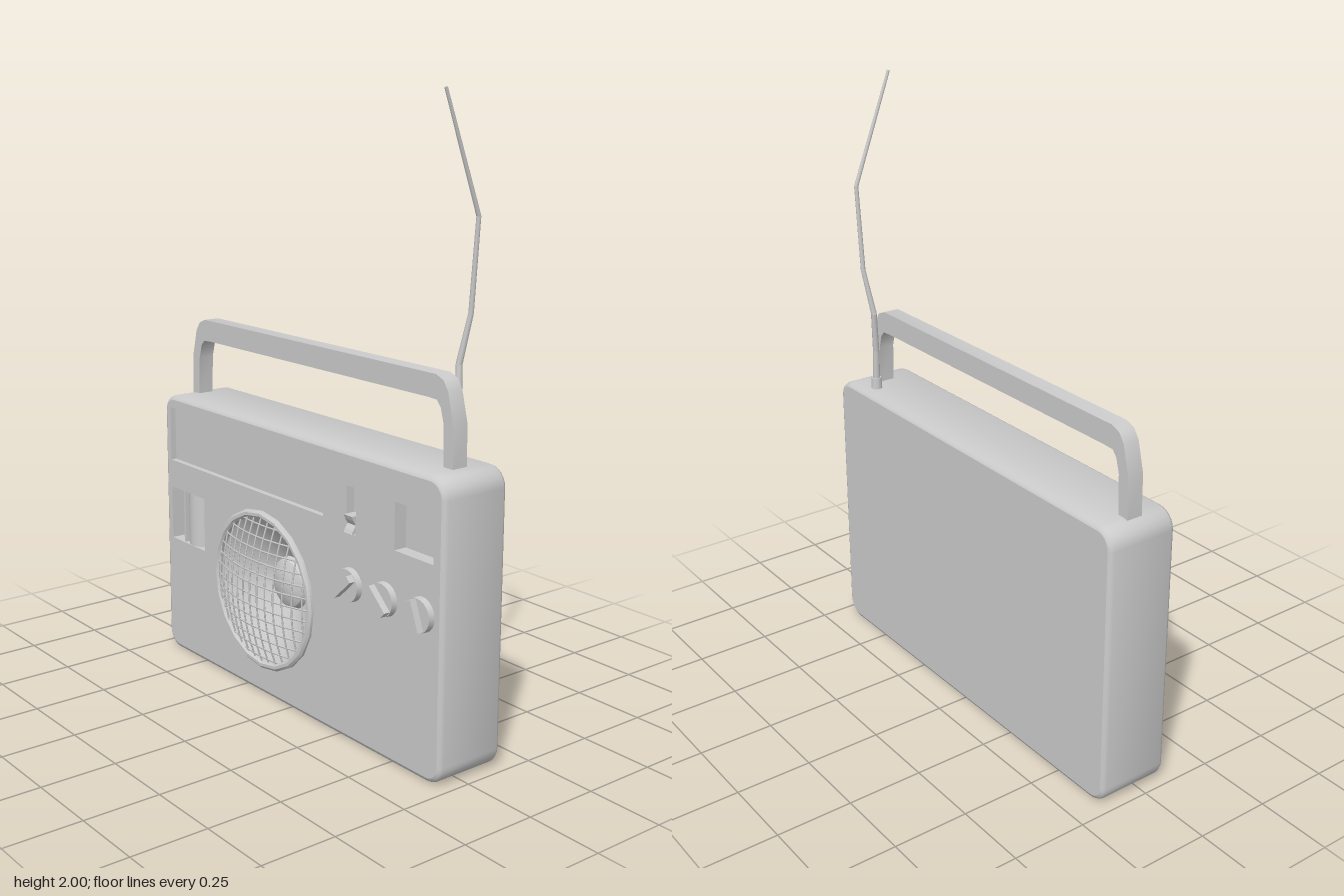
import * as THREE from 'three';
import { toCreasedNormals } from 'three/addons/utils/BufferGeometryUtils.js';

const FRONT = 0.092, BACK = -0.151;
const mat = new THREE.MeshStandardMaterial({ color: 0xcccccc, roughness: 0.7 });
const thin = new THREE.MeshStandardMaterial({ color: 0xcccccc, roughness: 0.7, side: THREE.DoubleSide });
const SPEAKER = { x: -0.142, y: 0.368, r: 0.252 };

function add(parent, name, geometry, x = 0, y = 0, z = 0, material = mat) {
  const mesh = new THREE.Mesh(geometry, material);
  mesh.name = name;
  mesh.position.set(x, y, z);
  parent.add(mesh);
  return mesh;
}

// Counter-clockwise rounded rectangle outline
function roundedRect(x0, y0, x1, y1, r, steps = 6) {
  const pts = [];
  const corners = [[x1 - r, y0 + r], [x1 - r, y1 - r], [x0 + r, y1 - r], [x0 + r, y0 + r]];
  corners.forEach(([cx, cy], c) => {
    for (let i = 0; i <= steps; i++) {
      const a = (c - 1 + i / steps) * Math.PI / 2;
      pts.push(new THREE.Vector2(cx + r * Math.cos(a), cy + r * Math.sin(a)));
    }
  });
  return pts;
}

const rect = (x0, y0, x1, y1) => [[x0, y0], [x1, y0], [x1, y1], [x0, y1]].map(p => new THREE.Vector2(...p));

// Skin between outlines at different depths; rising z faces outward, falling z inward
function loft(rings) {
  const pos = [], idx = [], n = rings[0].pts.length;
  rings.forEach(({ pts, z }) => pts.forEach(p => pos.push(p.x, p.y, z)));
  for (let k = 0; k < rings.length - 1; k++) {
    for (let i = 0; i < n; i++) {
      const a = k * n + i, b = k * n + (i + 1) % n;
      idx.push(a, b, a + n, b, b + n, a + n);
    }
  }
  const g = new THREE.BufferGeometry();
  g.setAttribute('position', new THREE.Float32BufferAttribute(pos, 3));
  g.setIndex(idx);
  return toCreasedNormals(g, 0.7);
}

function buildCase(group) {
  const outline = inset => roundedRect(-0.725 + inset, inset, 0.725 - inset, 0.932 - inset, 0.062 - inset);
  const profile = [[BACK, 0.015], [BACK + 0.005, 0.005], [BACK + 0.015, 0],
    [FRONT - 0.015, 0], [FRONT - 0.005, 0.005], [FRONT, 0.015]];
  add(group, 'caseSides', loft(profile.map(([z, inset]) => ({ pts: outline(inset), z }))));

  const back = new THREE.ShapeGeometry(new THREE.Shape(outline(0.015)));
  back.rotateY(Math.PI);
  add(group, 'caseBack', back, 0, 0, BACK);

  // Front panel with sunken windows
  const recesses = [
    ['dialWindow', rect(-0.688, 0.698, 0.175, 0.888), 0.02],
    ['tuningSlot', rect(-0.687, 0.412, -0.484, 0.6), 0.055],
    ['switchSlot', rect(0.29, 0.675, 0.335, 0.823), 0.03],
    ['meterWindow', rect(0.512, 0.675, 0.682, 0.823), 0.045],
  ];
  const panel = new THREE.Shape(outline(0.015));
  for (const [name, pts, depth] of recesses) {
    panel.holes.push(new THREE.Path(pts));
    add(group, name + 'Walls', loft([{ pts, z: FRONT }, { pts, z: FRONT - depth }]));
    add(group, name + 'Floor', new THREE.ShapeGeometry(new THREE.Shape(pts)), 0, 0, FRONT - depth);
  }
  panel.holes.push(new THREE.Path().absarc(SPEAKER.x, SPEAKER.y, SPEAKER.r, 0, Math.PI * 2));
  add(group, 'frontPanel', new THREE.ShapeGeometry(panel, 20), 0, 0, FRONT);
}

function buildSpeaker(group) {
  const speaker = new THREE.Group();
  speaker.name = 'speaker';
  speaker.position.set(SPEAKER.x, SPEAKER.y, FRONT);
  group.add(speaker);
  const lathe = (pts, sides) => toCreasedNormals(
    new THREE.LatheGeometry(pts.map(p => new THREE.Vector2(...p)), sides).rotateX(Math.PI / 2), 0.6);

  add(speaker, 'speakerRim', lathe([[0.272, -0.005], [0.272, 0.008], [0.264, 0.015],
    [0.254, 0.015], [0.247, 0.008], [0.247, -0.01]], 20), 0, 0, 0, thin);
  add(speaker, 'speakerCone', lathe([[0.254, -0.005], [0.235, -0.02], [0.16, -0.08], [0.09, -0.12],
    [0.08, -0.1], [0.05, -0.085], [0, -0.08]], 32), 0, 0, 0, thin);

  // Domed wire mesh: crossing wires following a shallow bowl
  const R = 0.25, count = 6, pitch = 0.038;
  for (let k = -count; k <= count; k++) {
    const c = k * pitch, half = Math.sqrt(R * R - c * c);
    for (const upright of [true, false]) {
      const pts = [];
      for (let i = 0; i <= 10; i++) {
        const t = half * (i / 5 - 1);
        const z = 0.006 + 0.05 * (1 - (c * c + t * t) / (R * R));
        pts.push(upright ? new THREE.Vector3(c, t, z) : new THREE.Vector3(t, c, z));
      }
      add(speaker, 'grilleWire', new THREE.TubeGeometry(new THREE.CatmullRomCurve3(pts), 14, 0.003, 5));
    }
  }
}

function buildControls(group) {
  // Round knobs with a turned grip bar
  [[0.314, 0.75], [0.475, -0.75], [0.637, -1.2]].forEach(([x, angle]) => {
    const knob = new THREE.Group();
    knob.name = 'knob';
    knob.position.set(x, 0.515, FRONT);
    knob.rotation.z = angle;
    group.add(knob);
    const disc = toCreasedNormals(new THREE.CylinderGeometry(0.052, 0.054, 0.022, 20).rotateX(Math.PI / 2), 0.6);
    add(knob, 'knobDisc', disc, 0, 0, 0.009);
    add(knob, 'knobGrip', new THREE.BoxGeometry(0.098, 0.024, 0.024), 0, 0, 0.03);
  });

  // Slide switch with a pinched finger grip
  const grip = new THREE.Shape([[0, 0], [0.044, 0], [0.038, 0.012], [0.028, 0.026],
    [0.038, 0.042], [0.044, 0.056], [0, 0.056]].map(p => new THREE.Vector2(...p)));
  const slider = new THREE.ExtrudeGeometry(grip, { depth: 0.039, bevelEnabled: false });
  slider.rotateY(-Math.PI / 2);
  add(group, 'slideSwitch', slider, 0.332, 0.679, FRONT - 0.031);

  // Tuning roller lying in its slot
  const roller = new THREE.CylinderGeometry(0.055, 0.055, 0.186, 24);
  add(group, 'tuningRoller', roller, -0.563, 0.506, FRONT - 0.055);
  add(group, 'tuningDivider', new THREE.BoxGeometry(0.01, 0.186, 0.05), -0.615, 0.506, FRONT - 0.03);
}

function buildHandle(group) {
  // Half the outline from foot to top bar, mirrored for the other side
  const outer = [[0.668, 0.92], [0.666, 1.06], [0.642, 1.155], [0.622, 1.185], [0.59, 1.198]];
  const inner = [[0.56, 1.126], [0.596, 1.124], [0.612, 1.105], [0.625, 1.06], [0.63, 0.92]];
  const mirrored = list => list.map(([x, y]) => [-x, y]).reverse();
  const pts = [...outer, ...mirrored(outer), ...mirrored(inner), ...inner];
  const shape = new THREE.Shape(pts.map(p => new THREE.Vector2(...p)));
  const g = new THREE.ExtrudeGeometry(shape, { depth: 0.055, bevelEnabled: false });
  add(group, 'handle', toCreasedNormals(g, 0.6), -0.016, 0, -0.058);
}

function buildAntenna(group) {
  const antenna = new THREE.Group();
  antenna.name = 'antenna';
  group.add(antenna);
  add(antenna, 'antennaSocket', new THREE.CylinderGeometry(0.017, 0.02, 0.06, 10), 0.577, 0.94, -0.095);
  // Bent rod in straight, narrowing sections
  const path = [[0.577, 0.94, -0.095], [0.57, 1.07, -0.097], [0.555, 1.21, -0.11],
    [0.577, 1.36, -0.132], [0.596, 1.64, -0.135], [0.6, 1.998, 0.004]].map(p => new THREE.Vector3(...p));
  const radii = [0.013, 0.011, 0.01, 0.008, 0.007, 0.005];
  for (let i = 0; i < path.length - 1; i++) {
    const dir = path[i + 1].clone().sub(path[i]);
    const rod = add(antenna, 'antennaRod', new THREE.CylinderGeometry(radii[i + 1], radii[i], dir.length(), 8));
    rod.position.copy(path[i]).addScaledVector(dir, 0.5);
    rod.quaternion.setFromUnitVectors(new THREE.Vector3(0, 1, 0), dir.normalize());
  }
}

export function createModel() {
  const radio = new THREE.Group();
  radio.name = 'portableRadio';
  buildCase(radio);
  buildSpeaker(radio);
  buildControls(radio);
  buildHandle(radio);
  buildAntenna(radio);
  return radio;
}
